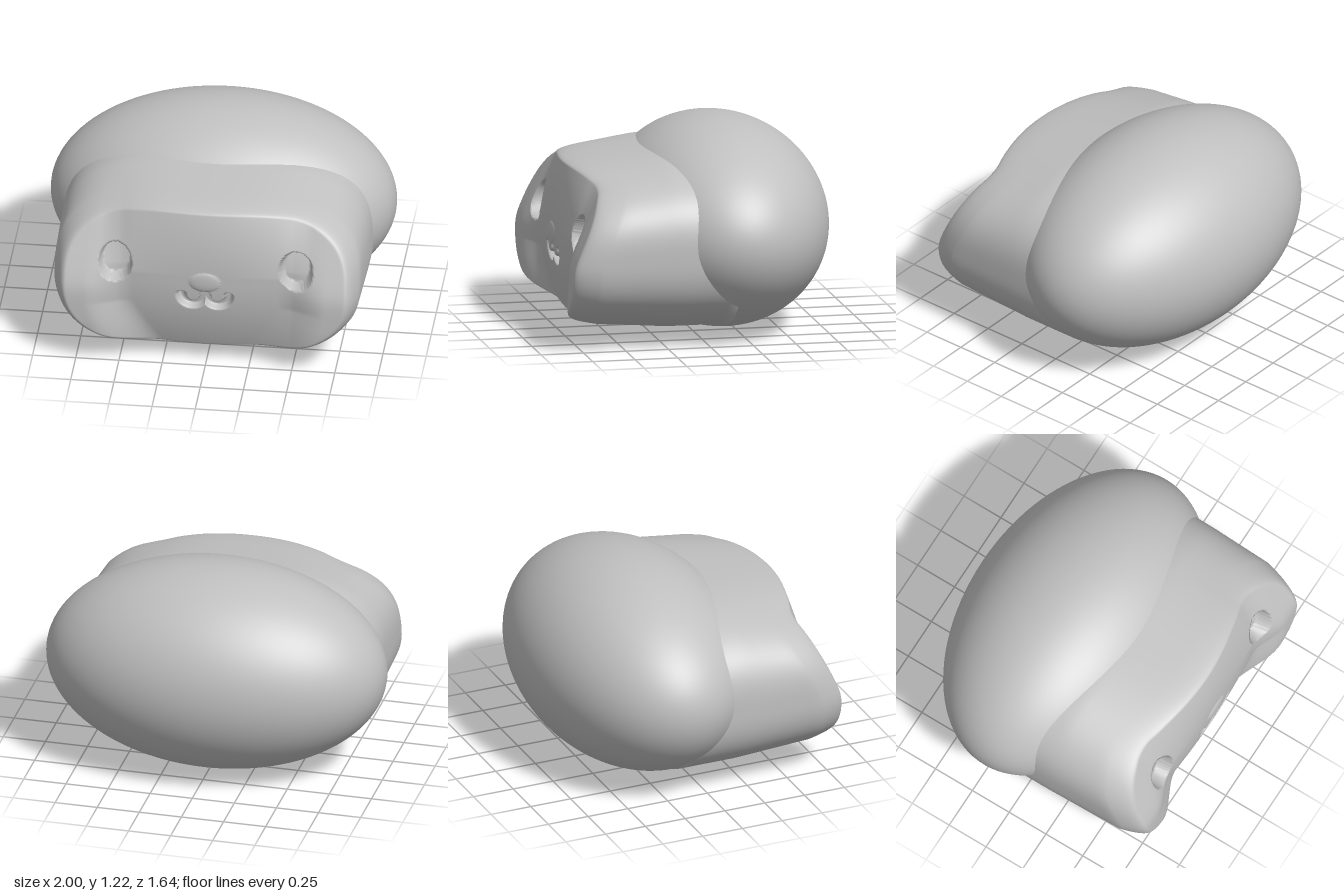
import * as THREE from 'three';

const SEG = 320, TUBE_ROWS = 14, FACE_ROWS = 96, RIM = 0.16, RIM_START = 0.91;
const clamp01 = v => Math.min(1, Math.max(0, v));
const step = (a, b, v) => { const t = clamp01((v - a) / (b - a)); return t * t * (3 - 2 * t); };

// Rounded-box outline of the head; k = 0 at the neck, 1 at the face
function outline(angle, k, scale = 1) {
  const c = Math.cos(angle), s = Math.sin(angle);
  const n = s > 0 ? 2.8 : 2.6;
  const h = s > 0 ? 0.52 - 0.04 * k : 0.50 - 0.03 * k;
  const w = 0.895 - 0.01 * k;
  const r = scale * Math.pow(Math.pow(Math.abs(c) / w, n) + Math.pow(Math.abs(s) / h, n), -1 / n);
  return [r * c, 0.54 + r * s];
}

// Distance to the two joined U curves of the mouth
function mouthDistance(x, y) {
  const dx = x - 0.073, dy = y - 0.475, r = 0.064;
  if (dy <= 0) return Math.abs(Math.hypot(dx, dy) - r);
  return Math.min(Math.hypot(dx - r, dy), Math.hypot(dx + r, dy));
}

// Smooth face relief: domed middle blending into full cheeks at the sides
function faceDepth(px, y) {
  const x = Math.abs(px), up = Math.max(0, y - 0.6), down = Math.max(0, 0.55 - y);
  const middle = 0.775 - 0.4 * up * up - 0.45 * down * down
    - 0.03 * Math.min(1, (x / 0.5) ** 2)
    - 0.28 * up * Math.min(1, (x / 0.6) ** 2);
  // Softened bend between the upright cheek and the sloping temple
  const bend = y - 0.5;
  const cheek = 0.825 - 0.235 * (bend + Math.hypot(bend, 0.06))
    - 0.6 * Math.max(0, 0.32 - y) ** 2;
  // The cheeks spread inwards towards the chin
  const spread = 0.6 * Math.max(0, 0.4 - y);
  return middle + (cheek - middle) * step(0.42 - spread, 0.7 - spread / 2, x);
}

// Small features: nose bump, eye sockets and mouth groove
function faceDetail(px, y) {
  const x = Math.abs(px);
  const nose = Math.hypot(x / 0.09, (y - 0.565) / 0.06);
  const eye = Math.hypot((x - 0.522) / 0.09, (y - 0.648) / 0.105);
  return 0.012 * Math.sqrt(Math.max(0, 1 - nose * nose))
    - 0.08 * (1 - step(0.92, 1.06, eye))
    - 0.045 * (1 - step(0.012, 0.03, mouthDistance(x, y)));
}

function headGeometry() {
  const pos = [], index = [];
  const rows = TUBE_ROWS + FACE_ROWS + 2;
  for (let i = 0; i < rows; i++) {
    for (let j = 0; j < SEG; j++) {
      const a = (j / SEG) * Math.PI * 2;
      const [ex, ey] = outline(a, 1);
      const edgeZ = faceDepth(ex, ey) - RIM;
      if (i === 0) {
        // Narrowed end buried in the body
        pos.push(...outline(a, 0, 0.8), -0.22);
      } else if (i <= TUBE_ROWS) {
        // Sides of the head
        const z = -0.15 + (edgeZ + 0.15) * (i - 1) / TUBE_ROWS;
        const k = clamp01((z - 0.2) / (edgeZ - 0.2));
        pos.push(...outline(a, k), z);
      } else {
        // Rounded rim, then the face
        const t = (i - TUBE_ROWS - 1) / FACE_ROWS;
        const s = t < 0.12
          ? 1 - (1 - RIM_START) * t / 0.12
          : RIM_START * (1 - (t - 0.12) / 0.88);
        const [x, y] = outline(a, 1, s);
        const drop = RIM * clamp01((s - RIM_START) / (1 - RIM_START)) ** 2;
        pos.push(x, y, faceDepth(x, y) + faceDetail(x, y) - drop);
      }
      if (i < rows - 1) {
        const p = i * SEG + j, q = i * SEG + (j + 1) % SEG;
        index.push(p, q, q + SEG, p, q + SEG, p + SEG);
      }
    }
  }
  const g = new THREE.BufferGeometry();
  g.setAttribute('position', new THREE.Float32BufferAttribute(pos, 3));
  g.setIndex(index);
  g.computeVertexNormals();
  return g;
}

export function createModel() {
  const group = new THREE.Group();
  const grey = new THREE.MeshStandardMaterial({ color: 0xc0c0c0 });
  grey.name = 'grey';

  // Wide egg-shaped body behind the head
  const bodyShape = new THREE.SphereGeometry(1, 96, 64);
  bodyShape.scale(1, 0.608, 0.64);
  const body = new THREE.Mesh(bodyShape, grey);
  body.name = 'body';
  body.position.set(0, 0.608, -0.18);

  const head = new THREE.Mesh(headGeometry(), grey);
  head.name = 'head';

  group.add(body, head);
  return group;
}
